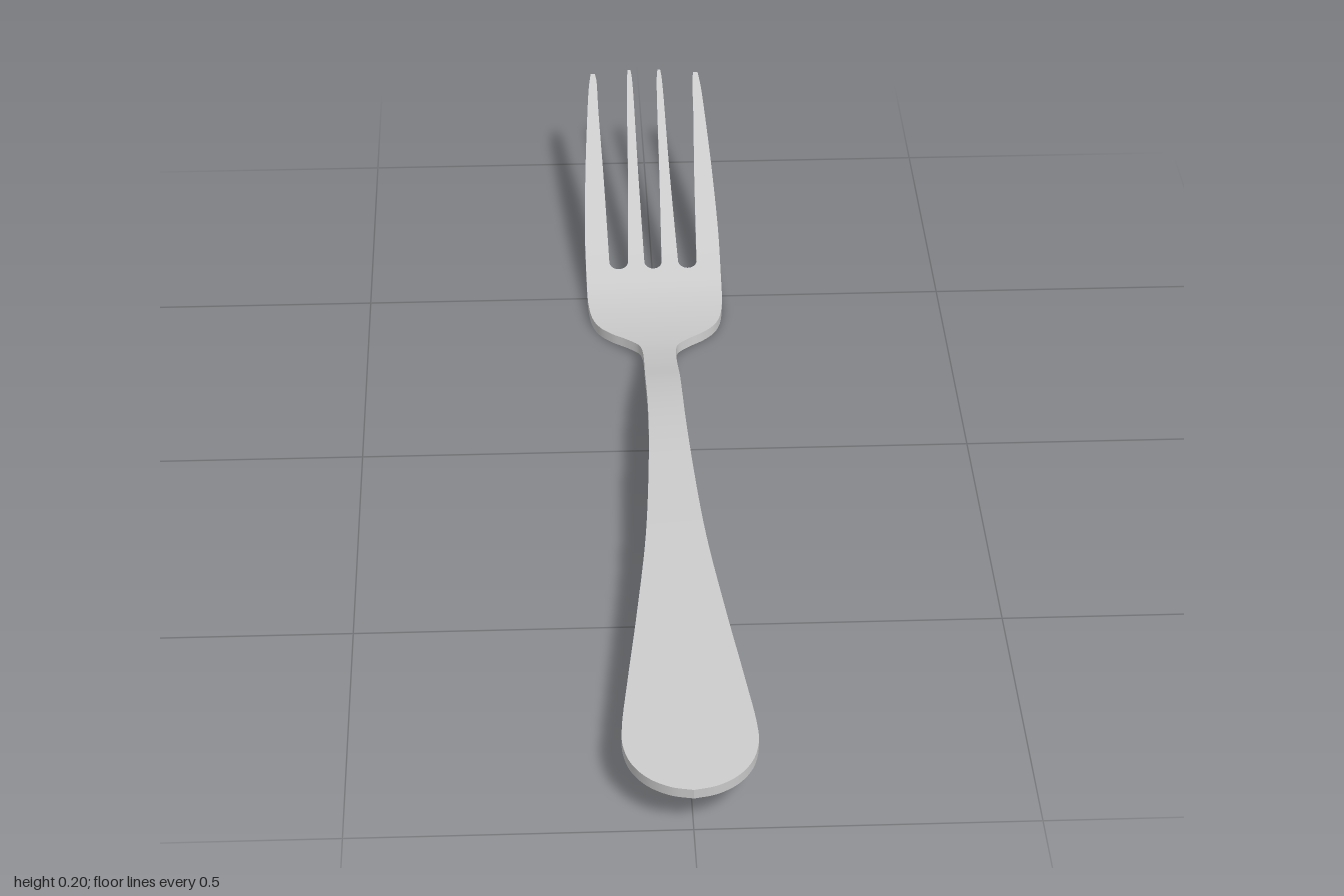
import * as THREE from 'three';
import { mergeGeometries } from 'three/addons/utils/BufferGeometryUtils.js';

const HALF_THICKNESS = 0.008;

// Smooth list of [z, value] points through a few given ones
function smooth(points, n) {
  const curve = new THREE.CatmullRomCurve3(points.map(([z, v]) => new THREE.Vector3(z, v, 0)));
  return curve.getPoints(n).map((p) => [p.x, p.y]);
}

// Look-up of a smooth value by z (z falls along the list)
function profile(points) {
  const s = smooth(points, 400);
  return (z) => {
    let i = 1;
    while (i < s.length - 1 && s[i][0] > z) i++;
    const [z0, v0] = s[i - 1], [z1, v1] = s[i];
    return v0 + (v1 - v0) * (z - z0) / (z1 - z0);
  };
}

// Height of the middle of the metal along the fork
const height = profile([
  [1.02, 0.064], [0.8, 0.076], [0.5, 0.09], [0.3, 0.096], [0.13, 0.098], [0, 0.088], [-0.1, 0.069],
  [-0.2, 0.04], [-0.3, 0.018], [-0.4, 0.0095], [-0.48, 0.015], [-0.55, 0.034], [-0.7, 0.085],
  [-0.85, 0.138], [-1.02, 0.2],
]);

// Bent bar of rectangular section; rows are [z, xRight, xLeft] running towards -z
function bar(rows, capEnd) {
  const rings = rows.map(([z, r, l]) => {
    const slope = (height(z + 0.01) - height(z - 0.01)) / 0.02;
    const k = HALF_THICKNESS / Math.hypot(1, slope);
    const y = height(z), dz = -slope * k;
    return [[r, y + k, z + dz], [l, y + k, z + dz], [l, y - k, z - dz], [r, y - k, z - dz]];
  });
  const make = (positions, index) => {
    const g = new THREE.BufferGeometry();
    g.setAttribute('position', new THREE.Float32BufferAttribute(positions, 3));
    g.setIndex(index);
    g.computeVertexNormals();
    return g;
  };
  const faces = [0, 1, 2, 3].map((side) => {
    const positions = [], index = [];
    rings.forEach((ring, i) => {
      positions.push(...ring[side], ...ring[(side + 1) % 4]);
      if (i) {
        const a = 2 * i - 2;
        index.push(a, a + 1, a + 3, a, a + 3, a + 2);
      }
    });
    return make(positions, index);
  });
  if (capEnd) faces.push(make(rings[rings.length - 1].flat(), [0, 1, 2, 0, 2, 3]));
  return mergeGeometries(faces);
}

export function createModel() {
  const group = new THREE.Group();
  const material = new THREE.MeshStandardMaterial({ color: 0xcccccc });
  const add = (name, geometry) => {
    const mesh = new THREE.Mesh(geometry, material);
    mesh.name = name;
    group.add(mesh);
  };

  // Handle, neck and head up to the bottom of the slots
  const slotBottom = -0.54;
  const outline = smooth([
    [1, 0], [0.992, 0.033], [0.972, 0.064], [0.94, 0.087], [0.9, 0.098], [0.86, 0.098], [0.75, 0.086],
    [0.6, 0.068], [0.4, 0.047], [0.2, 0.035], [0.05, 0.03], [-0.12, 0.029], [-0.27, 0.029],
    [-0.295, 0.034], [-0.32, 0.053], [-0.345, 0.079], [-0.37, 0.098], [-0.4, 0.11], [-0.45, 0.117],
    [slotBottom, 0.119],
  ], 140);
  add('handleAndHead', bar(outline.map(([z, w]) => [z, -w, w]), false));

  // Tines: edges open quickly at the base to round the slot bottoms
  const slotRadius = 0.016;
  const tine = (name, side, tip, inner, outer, innerSlot, outerSlot) => {
    const rows = [];
    for (let i = 0; i <= 40; i++) {
      const z = i <= 10
        ? slotBottom - slotRadius * (1 - Math.cos(i / 10 * Math.PI / 2))
        : slotBottom - slotRadius + (tip - slotBottom + slotRadius) * (i - 10) / 30;
      const fill = i < 10 ? 1 - Math.sin(i / 10 * Math.PI / 2) : 0;
      const a = THREE.MathUtils.lerp(inner(z), innerSlot, fill);
      const b = THREE.MathUtils.lerp(outer(z), outerSlot, fill);
      rows.push(side > 0 ? [z, a, b] : [z, -b, -a]);
    }
    add(name, bar(rows, true));
  };
  const outerEdge = profile([[slotBottom, 0.119], [-0.62, 0.119], [-0.75, 0.115], [-0.87, 0.109], [-0.96, 0.103], [-0.99, 0.099]]);
  const outerInner = profile([[slotBottom, 0.077], [-0.75, 0.082], [-0.9, 0.087], [-0.98, 0.089], [-0.99, 0.091]]);
  const innerOuter = profile([[slotBottom, 0.045], [-0.75, 0.038], [-0.98, 0.032], [-0.998, 0.03]]);
  const innerInner = profile([[slotBottom, 0.015], [-0.75, 0.019], [-0.98, 0.023], [-0.998, 0.025]]);
  for (const [label, side] of [['left', 1], ['right', -1]]) {
    tine(label + 'OuterTine', side, -0.99, outerInner, outerEdge, 0.061, 0.119);
    tine(label + 'InnerTine', side, -0.998, innerInner, innerOuter, 0, 0.061);
  }
  return group;
}
